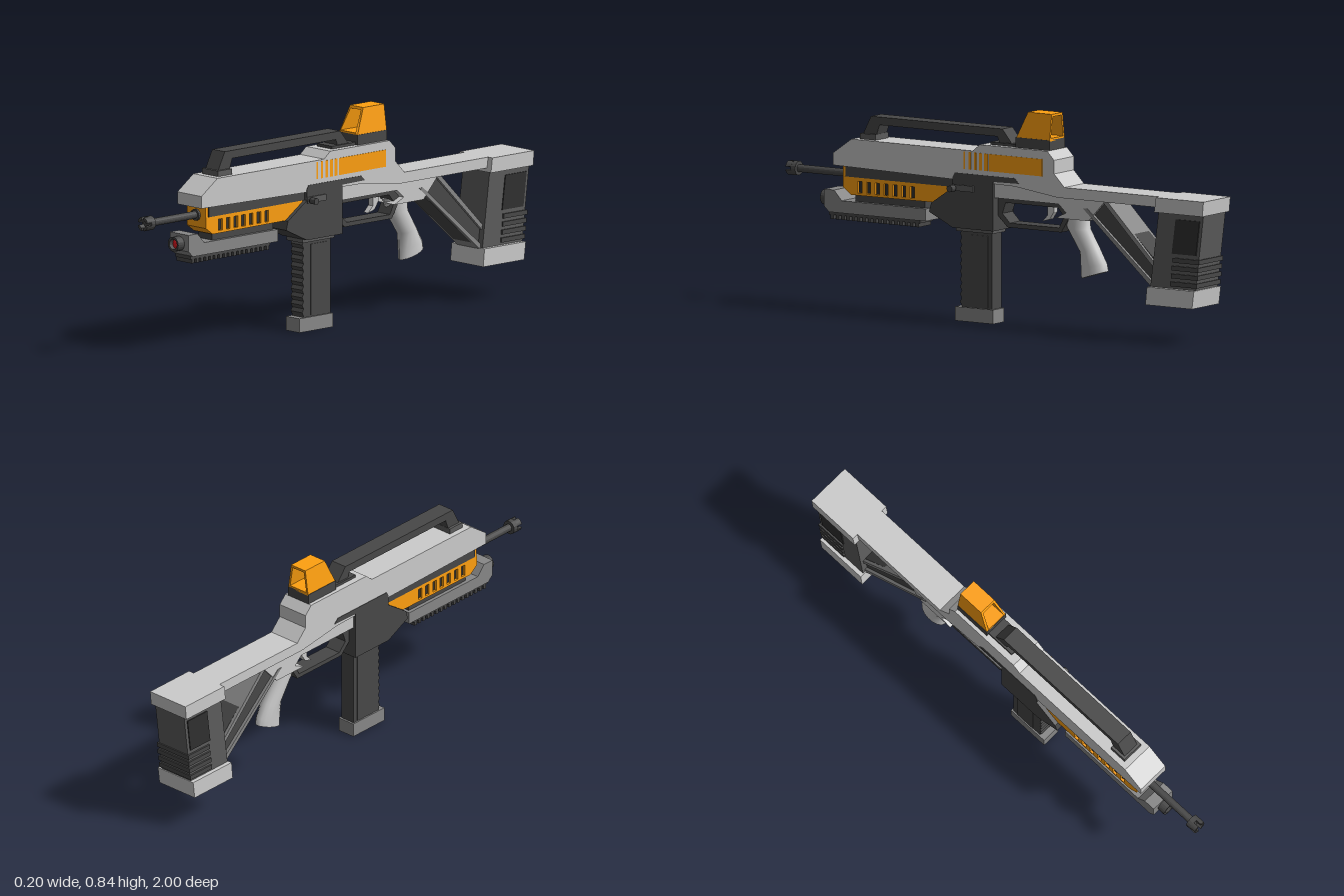
import * as THREE from 'three';

const mat = (color) => new THREE.MeshStandardMaterial({ color, flatShading: true });
const light = mat(0xcccccc), mid = mat(0x888888), steel = mat(0x5c5c5c), dark = mat(0x484848);
const black = mat(0x303030), orange = mat(0xffa010), red = mat(0xe01820);
const CX = -0.01; // the body's centre plane

export function createModel() {
  const model = new THREE.Group();
  const add = (name, geo, material) => {
    const mesh = new THREE.Mesh(geo, material);
    mesh.name = name;
    model.add(mesh);
    return mesh;
  };
  const toPath = (pts, P = THREE.Shape) => new P(pts.map(([a, b]) => new THREE.Vector2(a, b)));

  // Side profile of [z, y] points, extruded across x about the centre plane
  const slab = (name, pts, width, material, holes = [], x = CX) => {
    const shape = toPath(pts);
    shape.holes = holes.map((h) => toPath(h, THREE.Path));
    const geo = new THREE.ExtrudeGeometry(shape, { depth: width, bevelEnabled: false });
    geo.translate(0, 0, -width / 2).rotateY(-Math.PI / 2).translate(x, 0, 0);
    return add(name, geo, material);
  };
  const rect = (z0, z1, y0, y1) => [[z0, y0], [z1, y0], [z1, y1], [z0, y1]];
  const rod = (name, r, z0, z1, y, material, sides = 16) => {
    const geo = new THREE.CylinderGeometry(r, r, z1 - z0, sides).rotateX(Math.PI / 2);
    return add(name, geo.translate(CX, y, (z0 + z1) / 2), material);
  };

  // Upper body running back into the stock bar
  slab('upperBody', [[0.75, 0.565], [0.75, 0.613], [0.665, 0.673], [0.097, 0.673], [0.064, 0.7],
    [-0.252, 0.7], [-0.284, 0.667], [-0.284, 0.614], [-0.332, 0.565], [-0.8, 0.565],
    [-0.8, 0.523], [-0.3, 0.523], [-0.1, 0.55]], 0.135, light);
  slab('lowerBody', [[0, 0.56], [-0.5, 0.56], [-0.515, 0.523], [-0.44, 0.442], [-0.285, 0.442],
    [-0.335, 0.465], [-0.3, 0.497], [0, 0.497]], 0.12, light);
  slab('receiver', [[0.19, 0.523], [0.19, 0.565], [0.18, 0.582], [-0.1, 0.582], [-0.12, 0.562],
    [0, 0.56], [0, 0.367], [0.19, 0.367], [0.3, 0.42], [0.29, 0.455]], 0.138, dark);

  // Inlaid panel and bars on the left side
  const inlayX = CX + 0.0675;
  slab('sideInlay', rect(0, -0.23, 0.6, 0.667), 0.004, orange, [], inlayX);
  for (let i = 0; i < 6; i++) {
    const z = 0.138 - i * 0.024;
    slab('sideInlayBar', rect(z, z - 0.006 - i * 0.0025, 0.6, 0.667), 0.004, orange, [], inlayX);
  }

  // Vented handguard around a dark core
  const vents = [];
  for (let i = 0; i < 7; i++) {
    const z = 0.645 - i * 0.041;
    vents.push([[z, 0.463], [z - 0.02, 0.463], [z - 0.02, 0.508], [z, 0.508]]);
  }
  slab('handguard', [[0.713, 0.523], [0.2, 0.523], [0.19, 0.5], [0.275, 0.455], [0.676, 0.453],
    [0.713, 0.48]], 0.106, orange, vents);
  slab('handguardCore', rect(0.67, 0.3, 0.46, 0.53), 0.088, black);
  slab('handguardNose', rect(0.713, 0.7, 0.52, 0.565), 0.104, orange);
  slab('handguardTop', rect(0.7, 0.18, 0.523, 0.566), 0.112, dark);

  // Barrel with a four-pronged muzzle
  rod('barrel', 0.015, 0.68, 0.965, 0.528, dark);
  rod('barrelCollar', 0.023, 0.7, 0.722, 0.528, dark);
  rod('muzzle', 0.028, 0.955, 0.977, 0.528, dark);
  for (let i = 0; i < 4; i++) {
    const a = i * Math.PI / 2 + 0.25, b = a + Math.PI / 2 - 0.5;
    const sector = new THREE.Shape();
    sector.absarc(0, 0, 0.028, a, b, false);
    sector.absarc(0, 0, 0.017, b, a, true);
    const geo = new THREE.ExtrudeGeometry(sector, { depth: 0.026, bevelEnabled: false, curveSegments: 4 });
    add('muzzleProng', geo.translate(CX, 0.528, 0.974), dark);
  }

  // Lamp unit with a toothed rail underneath
  slab('lampMount', rect(0.665, 0.34, 0.42, 0.458), 0.075, dark);
  slab('lampBody', [[0.804, 0.465], [0.756, 0.465], [0.72, 0.426], [0.327, 0.426], [0.327, 0.378],
    [0.78, 0.378], [0.804, 0.4]], 0.104, mid);
  slab('rail', rect(0.785, 0.36, 0.366, 0.38), 0.085, dark);
  for (let i = 0; i < 17; i++) {
    const z = 0.778 - i * 0.0248;
    slab('railTooth', rect(z, z - 0.014, 0.35, 0.368), 0.085, dark);
  }
  const bezel = [[0.021, 0], [0.029, 0], [0.029, 0.035], [0.021, 0.035], [0.021, 0]];
  add('lampBezel', new THREE.LatheGeometry(bezel.map(([r, h]) => new THREE.Vector2(r, h)), 20)
    .rotateX(Math.PI / 2).translate(CX, 0.427, 0.802), dark);
  const lens = new THREE.SphereGeometry(0.022, 16, 10).scale(1, 1, 0.8).translate(CX, 0.427, 0.812);
  add('lampLens', lens, red);

  // Carry handle and its feet
  slab('carryHandle', [[0.633, 0.69], [0.595, 0.764], [-0.02, 0.764], [-0.066, 0.708], [-0.066, 0.698],
    [-0.01, 0.698], [0.003, 0.733], [0.555, 0.733], [0.57, 0.69]], 0.07, dark);
  slab('handleFrontFoot', rect(0.64, 0.567, 0.67, 0.695), 0.09, steel);
  slab('handleRearFoot', rect(0.03, -0.098, 0.695, 0.711), 0.085, dark);

  // Hollow sight: a tapered frame with a raked front
  slab('sightBase', rect(-0.094, -0.252, 0.695, 0.74), 0.106, dark);
  const frame = toPath([[-0.052, 0.735], [0.052, 0.735], [0.037, 0.84], [-0.037, 0.84]]);
  frame.holes.push(toPath([[-0.042, 0.747], [-0.029, 0.83], [0.029, 0.83], [0.042, 0.747]], THREE.Path));
  const sight = new THREE.ExtrudeGeometry(frame, { depth: 0.157, bevelEnabled: false });
  const sp = sight.attributes.position;
  for (let i = 0; i < sp.count; i++) {
    if (sp.getZ(i) > 0.1) sp.setZ(i, 0.157 - Math.max(0, sp.getY(i) - 0.748) * 0.5);
  }
  add('sight', sight.translate(CX, 0, -0.252), orange);

  // Charging handle on the left side
  slab('chargingSlot', rect(0.19, 0.09, 0.512, 0.536), 0.014, steel, [], 0.057);
  [['chargingShaft', 0.008, 0.04, 0.08], ['chargingKnob', 0.013, 0.073, 0.1]].forEach(([n, r, x0, x1]) =>
    add(n, new THREE.CylinderGeometry(r, r, x1 - x0, 12).rotateZ(Math.PI / 2)
      .translate((x0 + x1) / 2, 0.523, 0.177), dark));

  // Magazine with a rippled front edge
  const ripples = [];
  for (let i = 0; i <= 20; i++) ripples.push([0.172 + (i % 2 ? 0.008 : 0), 0.06 + i * 0.0148]);
  slab('magazine', [[0.03, 0.375], [0.03, 0.05], [0.172, 0.05], ...ripples, [0.18, 0.375]], 0.064, dark);
  slab('magazineSidePanel', rect(0.135, 0.05, 0.06, 0.34), 0.07, dark);
  slab('magazineCollar', rect(0.19, 0.02, 0.352, 0.37), 0.09, steel);
  slab('magazineBase', rect(0.2, 0.022, 0, 0.055), 0.076, mid);

  // Trigger and guard
  slab('triggerGuard', [[0.005, 0.52], [-0.29, 0.52], [-0.34, 0.455], [-0.295, 0.383], [-0.043, 0.383],
    [0.005, 0.43]], 0.07, dark,
  [[[-0.035, 0.478], [-0.28, 0.478], [-0.308, 0.445], [-0.285, 0.4], [-0.055, 0.4], [-0.02, 0.435]]]);
  slab('trigger', [[-0.215, 0.5], [-0.25, 0.5], [-0.245, 0.455], [-0.225, 0.425], [-0.19, 0.415],
    [-0.215, 0.44]], 0.025, light);

  // Rounded grip: rings spanned between front and back edge points
  const edges = [
    [-0.285, 0.455, -0.4, 0.46], [-0.305, 0.4, -0.405, 0.4], [-0.365, 0.31, -0.45, 0.325],
    [-0.368, 0.25, -0.482, 0.27], [-0.37, 0.206, -0.488, 0.242]];
  const grip = new THREE.CylinderGeometry(1, 1, 1, 16, edges.length - 1);
  const gp = grip.attributes.position;
  for (let i = 0; i < gp.count; i++) {
    const [z0, y0, z1, y1] = edges[Math.round((0.5 - gp.getY(i)) * (edges.length - 1))];
    const t = (1 - gp.getZ(i)) / 2;
    gp.setXYZ(i, CX + gp.getX(i) * 0.035, y0 + (y1 - y0) * t, z0 + (z1 - z0) * t);
  }
  grip.computeVertexNormals();
  const smoothLight = mat(0xcccccc);
  smoothLight.flatShading = false;
  add('grip', grip, smoothLight);

  // Diagonal stock strut with edge rails
  slab('strut', [[-0.43, 0.52], [-0.525, 0.525], [-0.77, 0.29], [-0.77, 0.2], [-0.735, 0.21],
    [-0.42, 0.48]], 0.1, dark);
  slab('strutUpperRail', [[-0.5, 0.53], [-0.525, 0.53], [-0.765, 0.29], [-0.765, 0.267]], 0.125, mid);
  slab('strutLowerRail', [[-0.415, 0.49], [-0.435, 0.49], [-0.745, 0.225], [-0.74, 0.205]], 0.125, mid);

  // Butt: leaning column between two pads, with side panels and ridges
  slab('buttTopPad', [[-0.777, 0.565], [-1, 0.565], [-0.994, 0.507], [-0.769, 0.507]], 0.184, light);
  slab('buttColumn', [[-0.78, 0.52], [-0.99, 0.52], [-0.95, 0.2], [-0.738, 0.2]], 0.15, steel);
  slab('buttBottomPad', [[-0.735, 0.213], [-0.955, 0.213], [-0.946, 0.143], [-0.728, 0.143]], 0.184, light);
  slab('buttSidePanel', [[-0.86, 0.485], [-0.972, 0.485], [-0.955, 0.35], [-0.842, 0.35]], 0.158, black);
  for (let i = 0; i < 4; i++) {
    const y = 0.325 - i * 0.031, s = i * 0.004;
    slab('buttRidge', rect(-0.848 + s, -0.972 + s, y - 0.009, y + 0.009), 0.164, dark);
  }
  return model;
}
